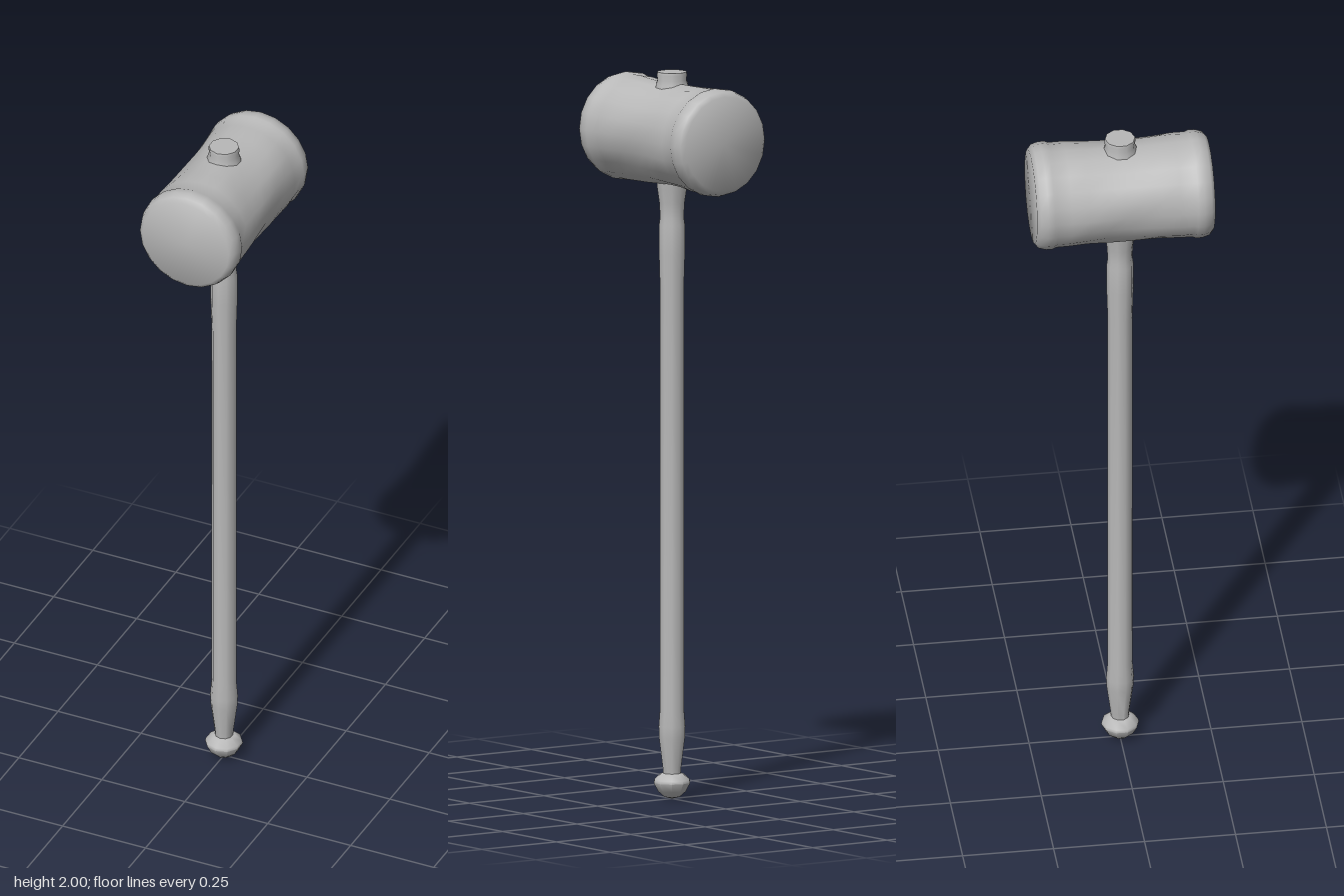
import * as THREE from 'three';
import { mergeVertices, toCreasedNormals } from 'three/addons/utils/BufferGeometryUtils.js';

const grey = new THREE.MeshStandardMaterial({ color: 0xb8b8b8 });
grey.name = 'plain grey';

// Turned part from [radius, height] pairs, listed bottom to top
function turned(profile, sides) {
  return new THREE.LatheGeometry(profile.map(([r, y]) => new THREE.Vector2(r, y)), sides);
}

// Weld the seam, then smooth everything but the sharp edges
function smooth(geometry, crease) {
  geometry.deleteAttribute('uv');
  geometry.deleteAttribute('normal');
  return toCreasedNormals(mergeVertices(geometry, 1e-5), crease);
}

function part(name, geometry) {
  const mesh = new THREE.Mesh(geometry, grey);
  mesh.name = name;
  return mesh;
}

// Round wooden head lying along z: waisted and hewn, with a rounded band at each end
function headGeometry() {
  const half = [[0.139, 0], [0.140, 0.05], [0.142, 0.1], [0.145, 0.15], [0.144, 0.188],
    [0.148, 0.197], [0.148, 0.215], [0.142, 0.235], [0.130, 0.245], [0, 0.245]];
  const lower = half.slice(1).reverse().map(([r, z]) => [r, -z]);
  const geometry = turned([...lower, ...half], 20).rotateX(Math.PI / 2);
  // Shallow hewn hollows, fading out before the end bands
  const p = geometry.attributes.position;
  for (let i = 0; i < p.count; i++) {
    const x = p.getX(i), y = p.getY(i), z = p.getZ(i);
    const a = Math.atan2(y, x);
    const fade = Math.max(0, 1 - (z / 0.19) ** 2);
    const k = 1 + fade * (0.018 * Math.sin(5 * a + 14 * z) + 0.014 * Math.sin(8 * a - 23 * z) - 0.01);
    p.setXYZ(i, x * k, y * k, z);
  }
  return smooth(geometry, 0.75);
}

export function createModel() {
  const model = new THREE.Group();
  model.name = 'mallet';

  const head = part('head', headGeometry());
  head.position.y = 1.828;
  model.add(head);

  // Long shaft: tapered above the knob, flared under the head
  model.add(part('shaft', smooth(turned([
    [0.024, 0.06], [0.026, 0.085], [0.037, 0.17], [0.038, 0.2], [0.034, 0.25],
    [0.034, 1.4], [0.037, 1.5], [0.037, 1.58], [0.034, 1.6], [0.036, 1.64],
    [0.042, 1.68], [0.046, 1.72]], 10), 0.8)));

  // Shaft end showing through the top of the head
  model.add(part('shaftTip', smooth(turned([
    [0.05, 1.93], [0.046, 1.965], [0.041, 1.978], [0.043, 1.993], [0.041, 2.0], [0, 2.0]], 10), 0.8)));

  // Knob at the foot
  model.add(part('knob', smooth(turned([
    [0, 0], [0.022, 0.006], [0.04, 0.022], [0.052, 0.045], [0.05, 0.053],
    [0.032, 0.069], [0.02, 0.071]], 10), 0.8)));

  return model;
}
